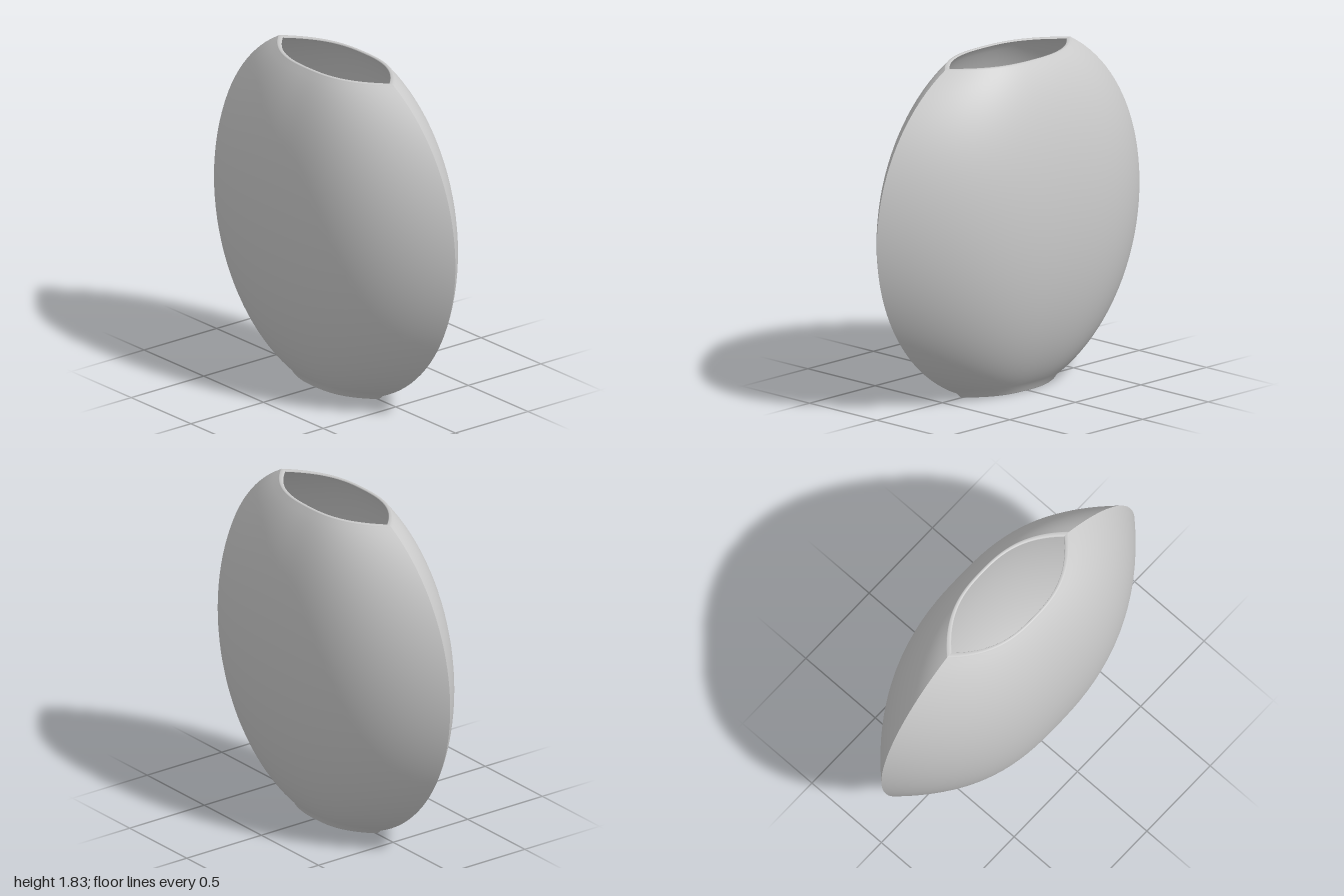
import * as THREE from 'three';

const HEIGHT = 1.83;   // rim height
const CENTRE = 0.95;   // height of the widest point
const DEPTH = 0.41;    // half depth for a half width of 1
const WALL = 0.03;
const FLOOR = 0.1;

const material = new THREE.MeshStandardMaterial({ color: 0xcccccc });

// Half width of the round body at a given height
const halfWidth = (y) => Math.sqrt(Math.max(0, 1 - (y - CENTRE) ** 2));

// Points along the round body between two heights, evenly spaced by angle
function bodyProfile(y0, y1, inset, steps = 40) {
  const a0 = Math.asin(y0 - CENTRE), a1 = Math.asin(y1 - CENTRE);
  const points = [];
  for (let i = 0; i <= steps; i++) {
    const y = CENTRE + Math.sin(a0 + (a1 - a0) * i / steps);
    points.push(new THREE.Vector2(halfWidth(y) - inset, y));
  }
  return points;
}

// Half lathe with its round section reshaped to one side of a pointed lens
function halfLens(points, side) {
  const geometry = new THREE.LatheGeometry(points, 48, side > 0 ? -Math.PI / 2 : Math.PI / 2, Math.PI);
  const p = geometry.attributes.position;
  for (let i = 0; i < p.count; i++) {
    const r = Math.hypot(p.getX(i), p.getZ(i));
    const s = r > 0 ? Math.min(1, Math.abs(p.getX(i)) / r) : 0;
    p.setZ(i, side * r * DEPTH * (1 - s ** 2.6));
  }
  geometry.computeVertexNormals();
  return geometry;
}

export function createModel() {
  const group = new THREE.Group();
  group.name = 'vase';

  const v = (x, y) => new THREE.Vector2(x, y);
  const rimOuter = halfWidth(HEIGHT - 0.006);
  const rimInner = halfWidth(HEIGHT) - WALL;

  // Each profile runs so that its faces point away from the wall
  const parts = {
    base: [v(0, 0), v(0.35, 0)],
    outerWall: [v(0.35, 0), v(0.365, 0.006), ...bodyProfile(0.03, HEIGHT - 0.006, 0)],
    rim: [v(rimOuter, HEIGHT - 0.006), v(rimOuter - 0.008, HEIGHT), v(rimInner + 0.005, HEIGHT), v(rimInner, HEIGHT - 0.006)],
    innerWall: [v(rimInner, HEIGHT - 0.006), ...bodyProfile(HEIGHT - 0.02, FLOOR, WALL)],
    innerFloor: [v(halfWidth(FLOOR) - WALL, FLOOR), v(0, FLOOR)],
  };

  // Front and back halves meet in a sharp seam at each side
  for (const [name, points] of Object.entries(parts)) {
    const part = new THREE.Group();
    part.name = name;
    for (const side of [1, -1]) {
      const mesh = new THREE.Mesh(halfLens(points, side), material);
      mesh.name = name + (side > 0 ? 'Front' : 'Back');
      part.add(mesh);
    }
    group.add(part);
  }
  return group;
}
